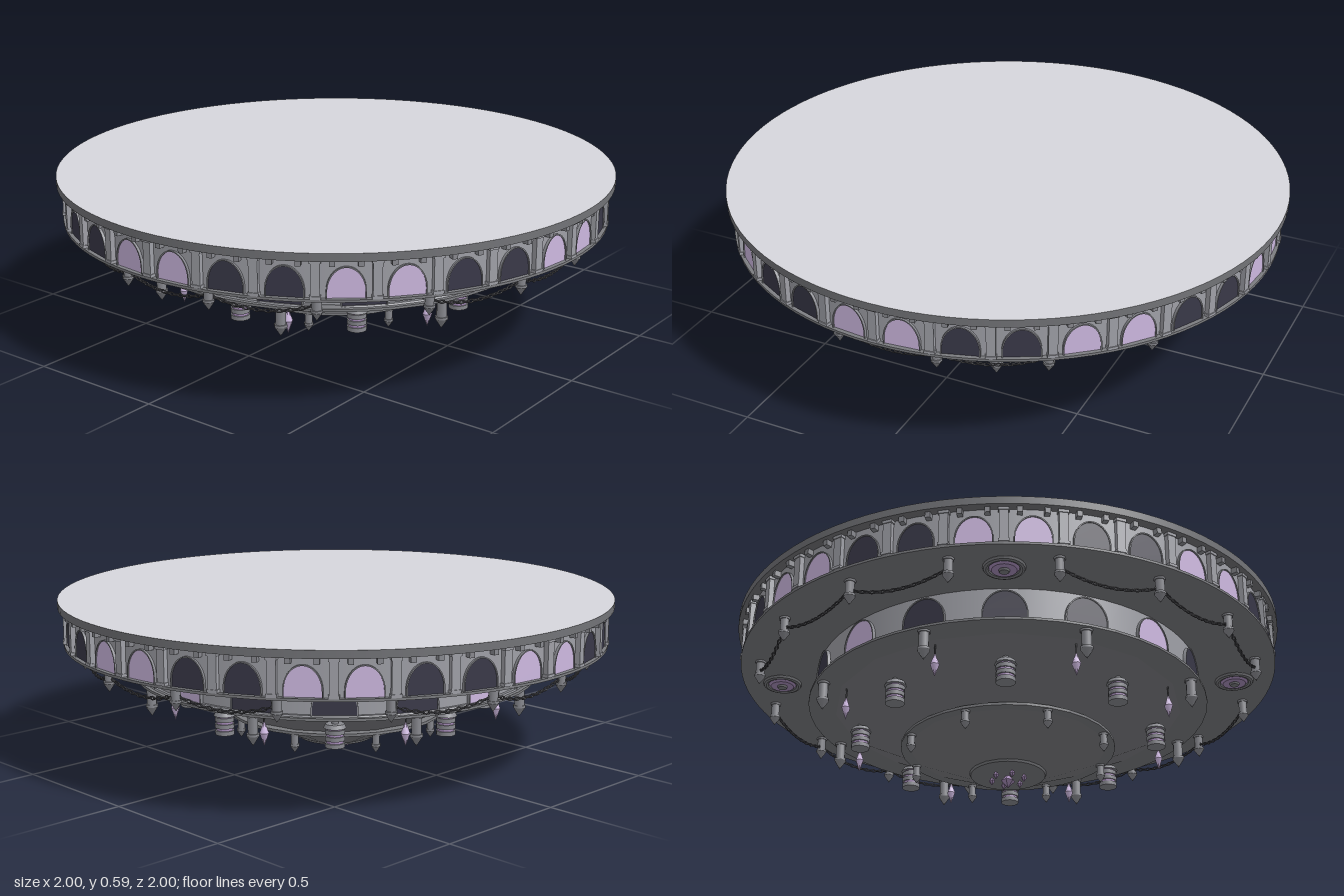
import * as THREE from 'three';
import { mergeGeometries } from 'three/addons/utils/BufferGeometryUtils.js';

const mat = (name, color, extra = {}) => {
  const m = new THREE.MeshStandardMaterial({ color, ...extra });
  m.name = name;
  return m;
};

export function createModel() {
  const root = new THREE.Group();
  root.name = 'hangingPlatform';
  const paving = mat('paving', 0xd6d6dc);
  const stone = mat('wallStone', 0x9fa0a7);
  const trim = mat('trimStone', 0x88898f);
  const dark = mat('darkStone', 0x7b7c80, { flatShading: true });
  const rimDark = mat('rimStone', 0x727377);
  const iron = mat('iron', 0x515156);
  const night = mat('darkGlass', 0x393848);
  const glow = mat('lavenderGlass', 0xcdb8e0);
  const violet = mat('violetCrystal', 0xa78dba, { flatShading: true });

  const add = (name, geo, material, parent = root) => {
    const m = new THREE.Mesh(geo, material);
    m.name = name;
    parent.add(m);
    return m;
  };
  // a part on a circle: angle measured from the front (+z)
  const around = (name, geo, material, deg, r, y) => {
    const a = THREE.MathUtils.degToRad(deg);
    const m = add(name, geo, material);
    m.position.set(Math.sin(a) * r, y, Math.cos(a) * r);
    m.rotation.y = a;
    return m;
  };
  const drum = (name, rTop, rBottom, y0, y1, material, seg = 64) => {
    const m = add(name, new THREE.CylinderGeometry(rTop, rBottom, y1 - y0, seg), material);
    m.position.y = (y0 + y1) / 2;
    return m;
  };
  const cyl = (rt, rb, y0, y1, seg = 8) =>
    new THREE.CylinderGeometry(rt, rb, y1 - y0, seg).translate(0, (y0 + y1) / 2, 0);

  // Deck slab with dark rim and pale paving on top
  const deck = add('deck', new THREE.CylinderGeometry(1, 1, 0.027, 96), [rimDark, paving, rimDark]);
  deck.position.y = 0.5765;

  // Upper and lower drums, with their ledges
  drum('upperDrum', 0.965, 0.965, 0.432, 0.563, stone);
  drum('upperLedge', 0.982, 0.982, 0.425, 0.434, dark, 96);
  drum('lowerDrum', 0.7, 0.7, 0.3, 0.43, stone);
  drum('lowerLedge', 0.73, 0.73, 0.295, 0.304, dark, 48);
  drum('lowerLedgeMoulding', 0.712, 0.716, 0.304, 0.309, trim, 48);

  // Faceted keel below the drums
  drum('upperKeel', 0.64, 0.355, 0.155, 0.298, dark, 16);
  drum('keelLedge', 0.39, 0.39, 0.148, 0.158, dark, 32);
  drum('lowerKeel', 0.36, 0.14, 0.055, 0.15, dark, 16);
  drum('keelCap', 0.14, 0.135, 0.047, 0.058, dark, 32);

  // Arched windows: thin pane inside a slim raised surround
  const arch = (w, h, Type = THREE.Shape) => {
    const s = new Type();
    const spring = h * 0.2;
    s.moveTo(-w, 0);
    s.lineTo(w, 0);
    s.lineTo(w, spring);
    s.absellipse(0, spring, w, h - spring, 0, Math.PI, false, 0);
    s.lineTo(-w, 0);
    return s;
  };
  const windowSet = (w, h) => {
    const frame = arch(w + 0.004, h + 0.004);
    frame.holes.push(arch(w, h, THREE.Path));
    const opts = { bevelEnabled: false, curveSegments: 14 };
    return {
      pane: new THREE.ExtrudeGeometry(arch(w, h), { ...opts, depth: 0.008 }),
      frame: new THREE.ExtrudeGeometry(frame, { ...opts, depth: 0.012 }),
    };
  };
  const big = windowSet(0.059, 0.1);
  const pilaster = mergeGeometries([
    new THREE.BoxGeometry(0.03, 0.13, 0.03),
    new THREE.BoxGeometry(0.036, 0.01, 0.036).translate(0, 0.058, 0),
    new THREE.BoxGeometry(0.036, 0.01, 0.036).translate(0, -0.058, 0),
  ]);
  const bracket = new THREE.BoxGeometry(0.018, 0.02, 0.03);
  for (let k = 0; k < 32; k++) {
    const deg = (k + 0.5) * 11.25;
    const lit = k % 4 === 0 || k % 4 === 3;
    around('upperWindow', big.pane, lit ? glow : night, deg, 0.96, 0.435);
    around('upperWindowFrame', big.frame, trim, deg, 0.96, 0.434);
    around('pilaster', pilaster, stone, k * 11.25, 0.967, 0.498);
    for (const d of [-2.6, 2.6]) around('deckBracket', bracket, trim, deg + d, 0.971, 0.552);
  }
  const low = windowSet(0.073, 0.105);
  for (let k = 0; k < 16; k++) {
    around('lowerWindow', low.pane, k % 4 ? night : glow, k * 22.5, 0.698, 0.308);
    around('lowerWindowFrame', low.frame, trim, k * 22.5, 0.698, 0.307);
  }

  // Hanging posts: collar, shaft, pointed finial (origin at the top)
  const post = (r, len, tip) => mergeGeometries([
    cyl(r * 1.3, r * 1.2, -0.012, 0),
    cyl(r, r, -(len - tip), 0),
    cyl(r * 1.25, r * 1.25, -(len - tip), -(len - tip) + 0.008),
    cyl(r * 1.25, 0, -len, -(len - tip)),
  ]);
  const outerPost = post(0.016, 0.094, 0.03);
  const middlePost = post(0.018, 0.11, 0.035);
  const innerPost = post(0.0135, 0.075, 0.025);
  for (let k = 0; k < 16; k++) around('outerPost', outerPost, trim, 11.25 + k * 22.5, 0.91, 0.43);
  for (let k = 0; k < 8; k++) {
    around('middlePost', middlePost, trim, 22.5 + k * 45, 0.7, 0.3);
    around('innerPost', innerPost, trim, 22.5 + k * 45, 0.37, 0.153);
  }

  // Sagging chains between the outer posts, leaving the diagonals free
  const link = new THREE.TorusGeometry(0.0055, 0.0025, 5, 8).scale(1.9, 1, 1);
  const links = 19;
  const half = 0.91 * Math.sin(Math.PI / 16);
  const chainParts = [];
  for (let i = 0; i < links; i++) {
    const t = ((i + 0.5) / links) * 2 - 1;
    const g = link.clone().rotateX(i % 2 ? Math.PI / 2 : 0);
    chainParts.push(g.rotateZ(Math.atan(0.4 * t)).translate(t * half, 0.036 * t * t, 0));
  }
  const chain = mergeGeometries(chainParts);
  for (let k = 0; k < 16; k++) {
    if (k % 4 !== 2) around('chain', chain, iron, k * 22.5, 0.91 * Math.cos(Math.PI / 16), 0.354);
  }

  // Ringed medallions under the upper drum
  const ring = new THREE.TorusGeometry(0.06, 0.011, 8, 24).rotateX(Math.PI / 2);
  const boss = new THREE.CylinderGeometry(0.056, 0.042, 0.016, 24);
  const stud = new THREE.CylinderGeometry(0.02, 0.016, 0.01, 16);
  for (let k = 0; k < 4; k++) {
    const deg = 45 + k * 90;
    around('medallionRing', ring, dark, deg, 0.84, 0.424);
    around('medallionBoss', boss, violet, deg, 0.84, 0.42);
    around('medallionStud', stud, dark, deg, 0.84, 0.41);
  }

  // Banded lanterns and crystals under the upper keel
  const lantern = mergeGeometries([
    cyl(0.012, 0.012, 0.23, 0.29),
    cyl(0.032, 0.039, 0.224, 0.238, 12),
    ...[0.204, 0.181, 0.157].map((y) => cyl(0.034, 0.034, y, y + 0.015, 12)),
  ]);
  const core = cyl(0.029, 0.029, 0.16, 0.228, 12);
  const crystal = (r, h) => mergeGeometries([cyl(0, r, 0, h, 6), cyl(r, 0, -h, 0, 6)]);
  const shard = crystal(0.016, 0.045);
  const cord = cyl(0.003, 0.003, 0.25, 0.3, 5);
  for (let k = 0; k < 8; k++) {
    around('lantern', lantern, trim, k * 45, 0.54, 0);
    around('lanternCore', core, violet, k * 45, 0.54, 0);
    around('crystal', shard, glow, 22.5 + k * 45, 0.615, 0.212);
    around('crystalCord', cord, iron, 22.5 + k * 45, 0.615, 0);
  }

  // Crystal cluster at the very bottom
  add('centreCrystal', crystal(0.026, 0.027), violet).position.y = 0.027;
  const smallShard = crystal(0.012, 0.016);
  for (let k = 0; k < 6; k++) around('smallCrystal', smallShard, violet, k * 60 + 30, 0.06, 0.033);

  return root;
}
